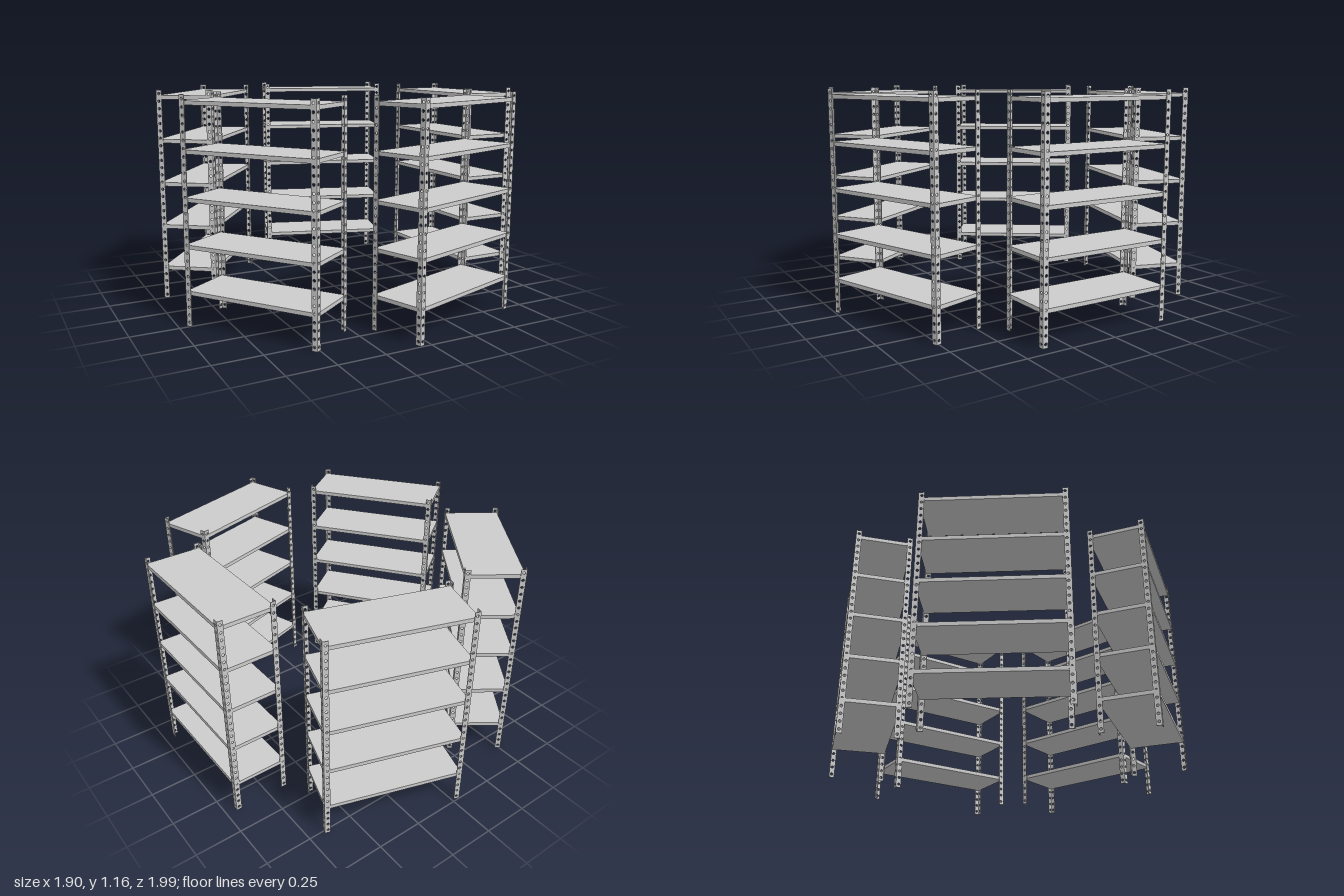
import * as THREE from 'three';
import { mergeGeometries } from 'three/addons/utils/BufferGeometryUtils.js';

const HEIGHT = 1.16, DEPTH = 0.306, WIDTH = 0.746;   // one shelving unit
const FLANGE = 0.03, STEEL = 0.004;                  // angle-iron posts
const SHELF_THICK = 0.021, SHELF_TOPS = [0.184, 0.421, 0.658, 0.895, 1.131];

// Flat strip standing on y = 0 with a column of bolt holes, centred in x and z
function perforatedStrip(width) {
  const shape = new THREE.Shape();
  shape.moveTo(-width / 2, 0);
  shape.lineTo(width / 2, 0);
  shape.lineTo(width / 2, HEIGHT);
  shape.lineTo(-width / 2, HEIGHT);
  shape.closePath();
  for (let y = 0.02; y < HEIGHT - 0.01; y += 0.04) {
    const hole = new THREE.Path();
    hole.absarc(0, y, 0.007, 0, Math.PI * 2, true);
    shape.holes.push(hole);
  }
  const geo = new THREE.ExtrudeGeometry(shape, { depth: STEEL, bevelEnabled: false, curveSegments: 8 });
  return geo.translate(0, 0, -STEEL / 2);
}

// L-section post whose outer corner lies at (sx, sz) of the unit
function postGeometry(sx, sz, alongX, alongZ) {
  const x = sx * DEPTH / 2, z = sz * WIDTH / 2;
  return mergeGeometries([
    alongX.clone().translate(x - sx * FLANGE / 2, 0, z - sz * STEEL / 2),
    alongZ.clone().translate(x - sx * STEEL / 2, 0, z - sz * (FLANGE + STEEL) / 2),
  ]);
}

export function createModel() {
  const model = new THREE.Group();
  model.name = 'shelvingRing';
  const grey = new THREE.MeshStandardMaterial({ color: 0xcccccc });

  const alongX = perforatedStrip(FLANGE);
  const alongZ = perforatedStrip(FLANGE - STEEL).rotateY(Math.PI / 2);
  const posts = [];
  for (const sx of [-1, 1]) for (const sz of [-1, 1]) posts.push(postGeometry(sx, sz, alongX, alongZ));

  // Shelf boards sit inside the post flanges
  const board = new THREE.BoxGeometry(DEPTH - 2 * STEEL, SHELF_THICK, WIDTH - 2 * STEEL);

  // Five units spaced evenly around a ring
  for (let i = 0; i < 5; i++) {
    const unit = new THREE.Group();
    unit.name = `shelvingUnit${i + 1}`;
    posts.forEach((geo, k) => {
      const post = new THREE.Mesh(geo, grey);
      post.name = `post${k + 1}`;
      unit.add(post);
    });
    SHELF_TOPS.forEach((top, k) => {
      const shelf = new THREE.Mesh(board, grey);
      shelf.name = `shelf${k + 1}`;
      shelf.position.y = top - SHELF_THICK / 2;
      unit.add(shelf);
    });
    const angle = i * Math.PI * 2 / 5;
    unit.rotation.y = angle;
    unit.position.set(0.773, 0, 0.01).applyAxisAngle(new THREE.Vector3(0, 1, 0), angle);
    unit.position.x += 0.018;
    unit.position.z -= 0.004;
    model.add(unit);
  }
  return model;
}
